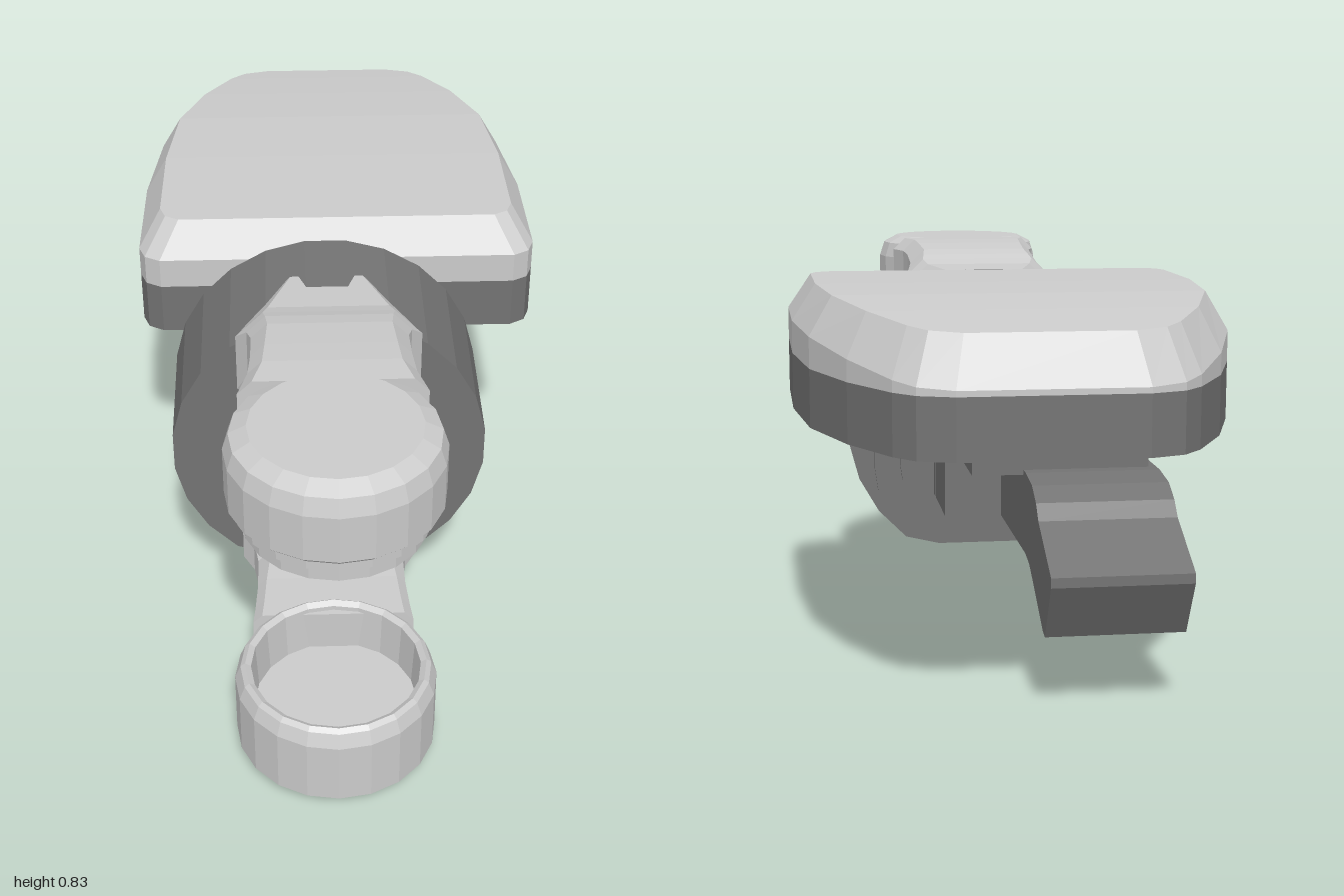
import * as THREE from 'three';

const CX = -0.03; // axis of the clamp body
const light = new THREE.MeshStandardMaterial({ color: 0xcccccc, flatShading: true, side: THREE.DoubleSide });
const dark = new THREE.MeshStandardMaterial({ color: 0x737373, flatShading: true, side: THREE.DoubleSide });

function part(name, geometry, material) {
  const mesh = new THREE.Mesh(geometry, material);
  mesh.name = name;
  return mesh;
}

// Skin closed rings (counter-clockwise about the direction of advance) and cap both ends with strips
function loft(rings) {
  const n = rings[0].length, index = [];
  const last = (rings.length - 1) * n;
  for (let i = 0; i < rings.length - 1; i++) {
    for (let j = 0; j < n; j++) {
      const a = i * n + j, b = i * n + (j + 1) % n;
      index.push(a, b, b + n, a, b + n, a + n);
    }
  }
  for (let j = 0; j < n / 2 - 1; j++) {
    const q = [j, j + 1, n - 2 - j, n - 1 - j];
    index.push(q[0], q[2], q[1], q[0], q[3], q[2]);
    index.push(last + q[0], last + q[1], last + q[2], last + q[0], last + q[2], last + q[3]);
  }
  const g = new THREE.BufferGeometry();
  g.setAttribute('position', new THREE.Float32BufferAttribute(rings.flat(2), 3));
  g.setIndex(index);
  g.computeVertexNormals();
  return g;
}

// Arm from chamfered sections: [z, half width, bottom, top, bottom chamfer, top chamfer]
function arm(name, sections) {
  const rings = sections.map(([z, w, y0, y1, c0, c1]) => [
    [w - c0, y0], [w, y0 + c0], [w, y1 - c1], [w - c1, y1],
    [c1 - w, y1], [-w, y1 - c1], [-w, y0 + c0], [c0 - w, y0],
  ].map(([x, y]) => [CX + x, y, z]));
  return part(name, loft(rings), light);
}

function head(name, profile) {
  const g = new THREE.LatheGeometry(profile.map(([r, y]) => new THREE.Vector2(r, y)), 20);
  g.translate(CX, 0, 0.783);
  return part(name, g, light);
}

function box(name, x0, x1, y0, y1, z0, z1) {
  const g = new THREE.BoxGeometry(x1 - x0, y1 - y0, z1 - z0);
  g.translate((x0 + x1) / 2, (y0 + y1) / 2, (z0 + z1) / 2);
  return part(name, g, dark);
}

// Rounded square plate behind the body
function plate(name, w, y0, y1, r, z, depth) {
  const s = new THREE.Shape();
  s.moveTo(w - r, y0);
  s.quadraticCurveTo(w, y0, w, y0 + r);
  s.lineTo(w, y1 - r);
  s.quadraticCurveTo(w, y1, w - r, y1);
  s.lineTo(r - w, y1);
  s.quadraticCurveTo(-w, y1, -w, y1 - r);
  s.lineTo(-w, y0 + r);
  s.quadraticCurveTo(-w, y0, r - w, y0);
  const g = new THREE.ExtrudeGeometry(s, { depth, bevelEnabled: false, curveSegments: 4 });
  g.translate(CX, 0, z);
  return part(name, g, dark);
}

export function createModel() {
  const model = new THREE.Group();

  // Pad: dark base, light bevelled top that droops towards the back
  const half = [[0.41, -0.01], [0.445, -0.03], [0.46, -0.07], [0.458, -0.35], [0.43, -0.6],
    [0.365, -0.79], [0.29, -0.93], [0.25, -0.975], [0.18, -1]];
  const outline = [...half, ...half.map(([x, z]) => [-x, z]).reverse()];
  const droop = (z) => Math.pow(Math.max(0, -z - 0.5) / 0.45, 1.5);
  const level = (y, drop, sx = 1, sz = 1) => outline.map(([x, z]) => {
    const zz = -0.505 + (z + 0.505) * sz;
    return [x * sx, y - drop * droop(zz), zz];
  });
  model.add(part('padBase', loft([level(0.53, 0), level(0.65, 0)]), dark));
  model.add(part('padTop', loft([level(0.65, 0), level(0.72, 0.05), level(0.8, 0.04, 0.89, 0.9)]), light));

  // Round body with a flat underside
  const body = new THREE.CylinderGeometry(0.35, 0.354, 0.32, 24);
  body.rotateY(Math.PI / 24).rotateX(Math.PI / 2).translate(CX, 0.43, 0.175);
  const p = body.attributes.position;
  for (let i = 0; i < p.count; i++) p.setY(i, Math.max(p.getY(i), 0.13));
  body.computeVertexNormals();
  model.add(part('body', body, dark));
  model.add(plate('backPlate', 0.29, 0.2, 0.63, 0.12, 0, 0.02));
  model.add(plate('innerBackPlate', 0.23, 0.25, 0.54, 0.08, -0.015, 0.02));

  // Upper and lower arms, flared where they meet the body
  model.add(arm('upperArm', [
    [0.16, 0.1, 0.6, 0.775, 0.03, 0.02],
    [0.3, 0.19, 0.535, 0.785, 0.065, 0.06],
    [0.335, 0.2, 0.535, 0.795, 0.065, 0.06],
    [0.365, 0.175, 0.615, 0.805, 0.04, 0.04],
    [0.41, 0.165, 0.655, 0.815, 0.03, 0.035],
    [0.5, 0.165, 0.655, 0.825, 0.02, 0.03],
    [0.57, 0.17, 0.655, 0.83, 0.02, 0.03],
    [0.64, 0.19, 0.66, 0.83, 0.02, 0.03],
  ]));
  model.add(arm('lowerArm', [
    [0.18, 0.12, 0.13, 0.25, 0.02, 0.03],
    [0.3, 0.19, 0.09, 0.305, 0.04, 0.065],
    [0.335, 0.2, 0.08, 0.305, 0.04, 0.065],
    [0.365, 0.175, 0.07, 0.235, 0.035, 0.04],
    [0.41, 0.165, 0.057, 0.2, 0.035, 0.03],
    [0.5, 0.165, 0.042, 0.195, 0.03, 0.02],
    [0.57, 0.17, 0.032, 0.195, 0.03, 0.02],
    [0.62, 0.175, 0.03, 0.195, 0.03, 0.02],
  ]));

  // Upper head with a projecting lip, lower head as an open cup
  model.add(head('upperHead', [[0, 0.65], [0.165, 0.645], [0.165, 0.6], [0.185, 0.6], [0.185, 0.637],
    [0.2, 0.637], [0.2, 0.655], [0.217, 0.672], [0.217, 0.775], [0.205, 0.812], [0.17, 0.83], [0, 0.83]]));
  model.add(head('lowerHead', [[0, 0], [0.18, 0], [0.212, 0.032], [0.212, 0.175], [0.2, 0.205],
    [0.19, 0.213], [0.178, 0.205], [0.172, 0.1], [0, 0.1]]));

  // Mount under the pad
  model.add(box('mountFront', -0.27, 0.12, 0.26, 0.53, -0.05, -0.01));
  model.add(box('mountTop', -0.27, 0.12, 0.45, 0.53, -0.31, -0.01));
  model.add(box('mountBack', -0.27, 0.1, 0.42, 0.53, -0.59, -0.31));
  model.add(box('leverNub', -0.02, 0.12, 0.26, 0.43, -0.26, -0.06));

  // Lever with a bent handle, drawn from the side and extruded across
  const side = [[0.06, 0.26], [0.62, 0.26], [0.67, 0.25], [0.71, 0.23], [0.84, 0.16], [0.865, 0.155],
    [0.93, 0.27], [0.93, 0.29], [0.78, 0.365], [0.75, 0.395], [0.7, 0.42], [0.62, 0.43], [0.06, 0.43]];
  const lever = new THREE.ExtrudeGeometry(
    new THREE.Shape(side.map(([x, y]) => new THREE.Vector2(x, y))), { depth: 0.28, bevelEnabled: false });
  lever.rotateY(Math.PI / 2).translate(-0.287, 0, 0);
  model.add(part('lever', lever, dark));

  return model;
}
